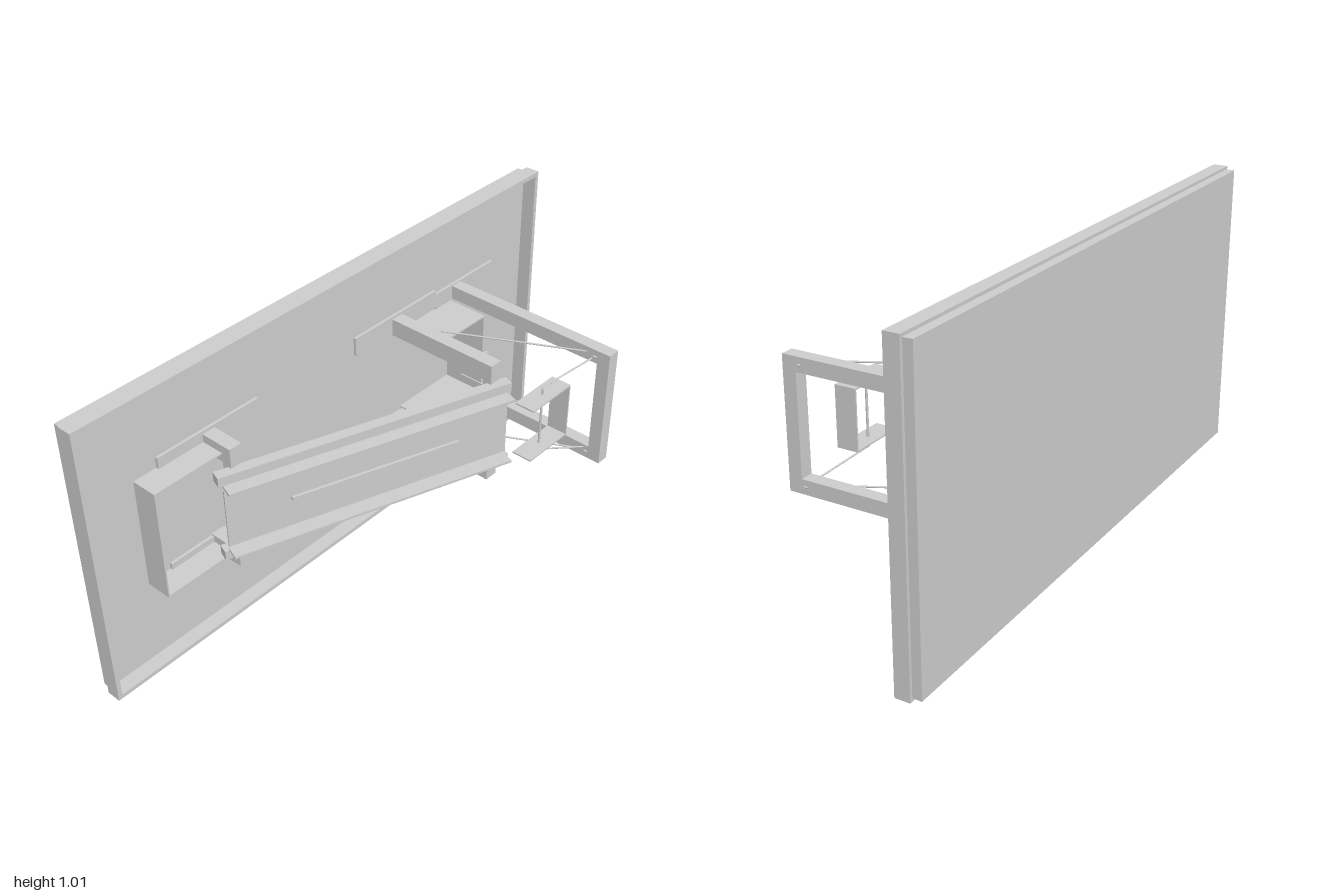
import * as THREE from 'three';

const grey = new THREE.MeshStandardMaterial({ color: 0xcccccc, side: THREE.DoubleSide });
const FLOOR = -0.315; // recessed face of the board
const MID = 0.505; // height of the mirror plane

export function createModel() {
  const model = new THREE.Group();

  const add = (name, geometry, parent = model) => {
    const mesh = new THREE.Mesh(geometry, grey);
    mesh.name = name;
    parent.add(mesh);
    return mesh;
  };
  // Box given by its min and max on each axis
  const box = (name, x0, x1, y0, y1, z0, z1, parent = model) => {
    const mesh = add(name, new THREE.BoxGeometry(x1 - x0, y1 - y0, z1 - z0), parent);
    mesh.position.set((x0 + x1) / 2, (y0 + y1) / 2, (z0 + z1) / 2);
    return mesh;
  };
  // The same box above and below the mirror plane
  const boxPair = (name, x0, x1, y0, y1, z0, z1) => {
    box(name, x0, x1, y0, y1, z0, z1);
    box(name, x0, x1, 2 * MID - y1, 2 * MID - y0, z0, z1);
  };
  // Thin straight rod between two points
  const rod = (name, a, b, r = 0.003) => {
    const p = new THREE.Vector3(...a), q = new THREE.Vector3(...b);
    const mesh = add(name, new THREE.CylinderGeometry(r, r, p.distanceTo(q), 8));
    mesh.position.copy(p).lerp(q, 0.5);
    mesh.quaternion.setFromUnitVectors(new THREE.Vector3(0, 1, 0), q.sub(p).normalize());
  };
  const rodPair = (name, a, b, r) => {
    const flip = ([x, y, z]) => [x, 2 * MID - y, z];
    rod(name, a, b, r);
    rod(name, flip(a), flip(b), r);
  };

  // Backboard with raised rim
  box('backboard', -0.99, 0.99, 0.01, 1.0, -0.345, FLOOR);
  boxPair('rimLong', -1, 1, 0.995, 1.01, FLOOR, -0.265);
  for (const s of [-1, 1]) {
    const side = box('rimShort', -0.0075, 0.0075, 0.015, 0.995, FLOOR, -0.265);
    side.position.x = s * 0.9925;
  }

  // Flat mounting strips on the board
  boxPair('mountingStrip', -0.71, -0.315, 0.675, 0.74, FLOOR, -0.305);
  boxPair('mountingStrip', 0.115, 0.51, 0.675, 0.74, FLOOR, -0.305);
  boxPair('mountingStrip', 0.51, 0.815, 0.667, 0.725, FLOOR, -0.305);

  // U-shaped frames standing off the board: two arms joined by a front bar
  const frame = (name, x0, x1, yTop, zFront, arm, bar) => {
    boxPair(name + 'Arm', x0, x1, yTop - arm, yTop, FLOOR, zFront);
    box(name + 'Bar', x0, x1, 2 * MID - yTop + arm, yTop - arm, zFront - bar, zFront);
  };
  frame('lowFrame', -0.54, -0.493, 0.73, -0.19, 0.06, 0.035);
  frame('innerFrame', 0.29, 0.337, 0.73, 0.11, 0.06, 0.032);
  frame('outerFrame', 0.595, 0.64, 0.72, 0.345, 0.048, 0.046);

  // Sheet-metal channels: two flanges and an end web
  const channel = (name, xEnd, xOpen, yTop, z0, z1) => {
    const t = 0.005;
    boxPair(name + 'Flange', Math.min(xEnd, xOpen), Math.max(xEnd, xOpen), yTop - t, yTop, z0, z1);
    const inward = xEnd + Math.sign(xOpen - xEnd) * t;
    box(name + 'Web', Math.min(xEnd, inward), Math.max(xEnd, inward),
      2 * MID - yTop + t, yTop - t, z0, z1);
  };
  channel('endBracket', -0.795, -0.54, 0.702, FLOOR, -0.225);
  channel('sideBracket', 0.595, 0.337, 0.662, FLOOR, -0.16);
  channel('frontBracket', 0.525, 0.33, 0.605, 0.18, 0.253);

  // Sloping ramp: panel, rails with thin lips, and a centre rod
  const ramp = new THREE.Group();
  ramp.name = 'ramp';
  ramp.position.set(-0.128, MID, -0.016);
  ramp.rotation.y = -0.344;
  model.add(ramp);
  box('rampPanel', -0.486, 0.486, -0.107, 0.107, -0.004, 0.002, ramp);
  box('rampRod', -0.275, 0.305, -0.005, 0.005, 0.002, 0.012, ramp);
  for (const s of [-1, 1]) {
    const rail = box('rampRail', -0.5, 0.5, -0.016, 0.016, -0.037, 0, ramp);
    rail.position.y = s * 0.141;
    const lip = box('rampLip', -0.486, 0.486, -0.004, 0.004, -0.002, 0.045, ramp);
    lip.position.y = s * 0.121;
  }

  // Rods, stays and their knobs on the outer frame
  rod('pivotPin', [0.425, 0.385, 0.215], [0.425, 0.625, 0.215], 0.004);
  rodPair('shortStay', [0.425, 0.628, 0.212], [0.615, 0.69, 0.285]);
  rodPair('longStay', [0.335, 0.7, -0.255], [0.612, 0.7, 0.285]);
  rod('centreRod', [0.45, 0.508, -0.138], [0.45, 0.508, 0.112]);
  for (const y of [0.695, 2 * MID - 0.695]) {
    const knob = add('stayKnob', new THREE.SphereGeometry(1, 16, 10));
    knob.scale.set(0.027, 0.007, 0.017);
    knob.position.set(0.617, y, 0.288);
  }

  return model;
}
